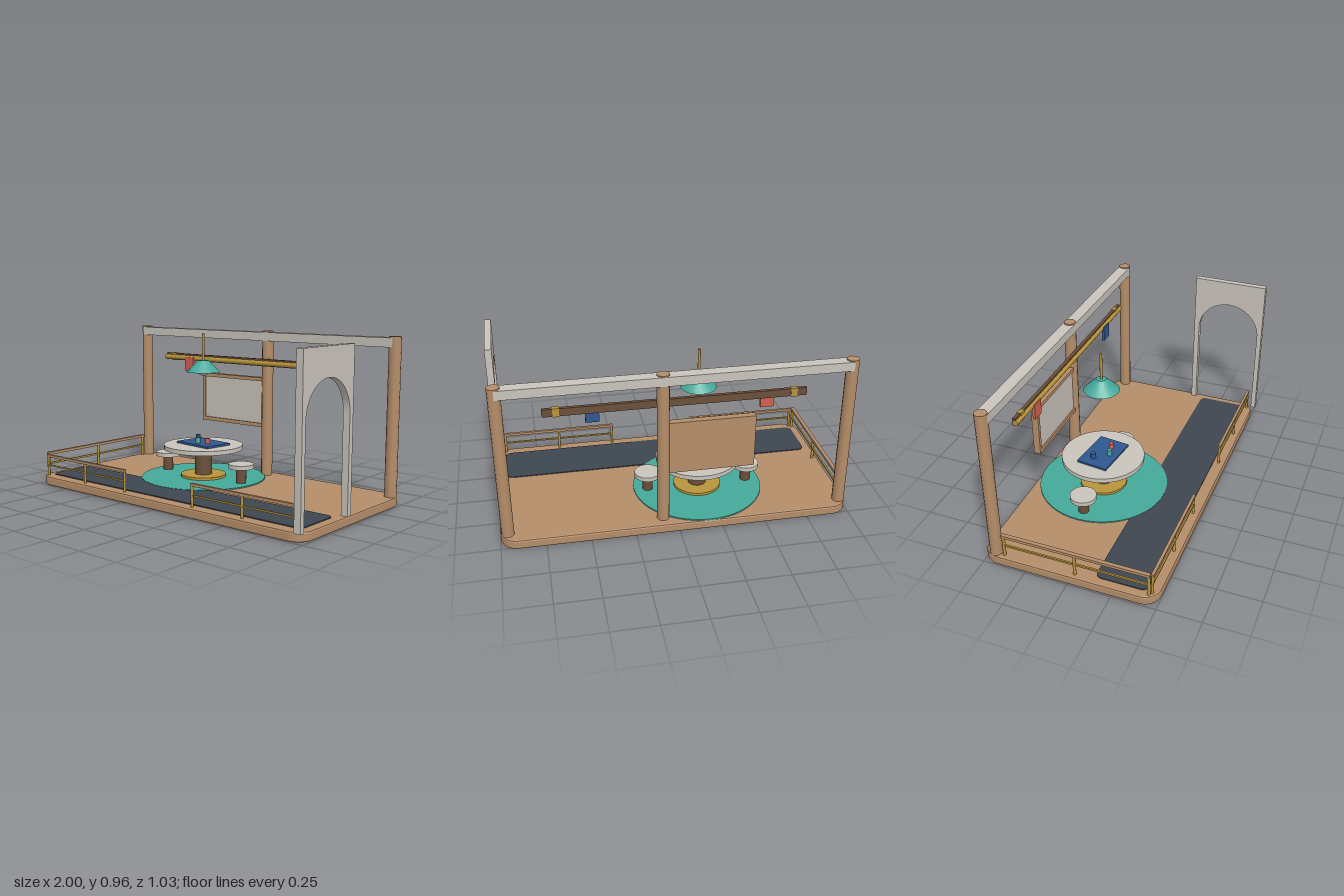
import * as THREE from 'three';

const material = (name, color) => {
  const m = new THREE.MeshStandardMaterial({ color });
  m.name = name;
  return m;
};

export function createModel() {
  const model = new THREE.Group();
  model.name = 'pavilion';

  const tan = material('tan wood', 0xb58d69);
  const stone = material('pale stone', 0xc9c4bb);
  const teal = material('teal', 0x45a99b);
  const slate = material('dark slate', 0x3e4651);
  const gold = material('brass', 0xb8943c);
  const brown = material('dark wood', 0x6b4f3a);
  const red = material('coral red', 0xd0604f);
  const blue = material('blue', 0x2f5791);

  const add = (name, geo, mat, x = 0, y = 0, z = 0, parent = model) => {
    const m = new THREE.Mesh(geo, mat);
    m.name = name;
    m.position.set(x, y, z);
    parent.add(m);
    return m;
  };
  // Box given by its lower and upper limits on each axis
  const box = (name, mat, x0, x1, y0, y1, z0, z1, parent) =>
    add(name, new THREE.BoxGeometry(x1 - x0, y1 - y0, z1 - z0), mat,
      (x0 + x1) / 2, (y0 + y1) / 2, (z0 + z1) / 2, parent);
  // Upright cylinder or frustum from y0 to y1
  const post = (name, mat, x, z, y0, y1, r, sides = 24, rTop = r, parent = model) =>
    add(name, new THREE.CylinderGeometry(rTop, r, y1 - y0, sides), mat, x, (y0 + y1) / 2, z, parent);
  // Flat rounded slab lying on y0
  const slab = (name, mat, w, d, r, y0, y1, z, bevel) => {
    const a = w / 2 - bevel, b = d / 2 - bevel;
    const s = new THREE.Shape();
    s.moveTo(-a + r, -b);
    s.lineTo(a - r, -b);
    s.absarc(a - r, -b + r, r, -Math.PI / 2, 0);
    s.lineTo(a, b - r);
    s.absarc(a - r, b - r, r, 0, Math.PI / 2);
    s.lineTo(-a + r, b);
    s.absarc(-a + r, b - r, r, Math.PI / 2, Math.PI);
    s.lineTo(-a, -b + r);
    s.absarc(-a + r, -b + r, r, Math.PI, Math.PI * 1.5);
    const geo = new THREE.ExtrudeGeometry(s, {
      depth: y1 - y0 - 2 * bevel, curveSegments: 6,
      bevelEnabled: bevel > 0, bevelSize: bevel, bevelThickness: bevel, bevelSegments: 2,
    });
    geo.rotateX(-Math.PI / 2);
    return add(name, geo, mat, 0, y0 + bevel, z);
  };

  // Floor and its coverings
  slab('floor', tan, 1.994, 1.015, 0.085, 0, 0.055, -0.0075, 0.01);
  slab('runner', slate, 1.894, 0.292, 0.035, 0.054, 0.0605, 0.286, 0);
  const cx = -0.177, cz = -0.132;
  post('rug', teal, cx, cz, 0.054, 0.062, 0.383, 48);

  // Back posts and top beam
  for (const x of [-0.957, 0.085, 0.957]) post('backPost', tan, x, -0.439, 0.05, 0.958, 0.035, 12);
  box('topBeam', stone, -0.957, 0.957, 0.898, 0.951, -0.474, -0.404);

  // Arch at the left side
  const arch = new THREE.Shape();
  arch.moveTo(0.06, 0.055);
  arch.lineTo(0.092, 0.055);
  arch.lineTo(0.092, 0.596);
  arch.absarc(0.29, 0.596, 0.198, Math.PI, 0, true);
  arch.lineTo(0.488, 0.055);
  arch.lineTo(0.517, 0.055);
  arch.lineTo(0.517, 0.948);
  arch.lineTo(0.06, 0.948);
  const archGeo = new THREE.ExtrudeGeometry(arch, { depth: 0.04, bevelEnabled: false, curveSegments: 14 });
  archGeo.rotateY(-Math.PI / 2);
  add('archway', archGeo, stone, 1, 0, 0);

  // Framed board beside the middle post
  const board = new THREE.Group();
  board.name = 'board';
  model.add(board);
  const [bx0, bx1, by0, by1] = [-0.428, 0.058, 0.357, 0.668];
  box('boardBack', tan, bx0, bx1, by0, by1, -0.455, -0.43, board);
  box('boardPanel', stone, bx0 + 0.022, bx1 - 0.006, by0 + 0.024, by1 - 0.022, -0.432, -0.424, board);
  box('boardFrameTop', tan, bx0, bx1, by1 - 0.022, by1, -0.43, -0.415, board);
  box('boardFrameBottom', tan, bx0, bx1, by0, by0 + 0.024, -0.43, -0.415, board);
  box('boardFrameSide', tan, bx0, bx0 + 0.022, by0 + 0.024, by1 - 0.022, -0.43, -0.415, board);

  // Hanging rail with clips and tags
  box('railBeam', brown, -0.722, 0.722, 0.744, 0.788, -0.405, -0.385);
  const rod = add('railRod', new THREE.CylinderGeometry(0.016, 0.016, 1.448, 10), gold, 0, 0.762, -0.386);
  rod.rotation.z = Math.PI / 2;
  for (const x of [-0.65, 0.65]) box('railClip', gold, x - 0.018, x + 0.018, 0.741, 0.791, -0.408, -0.38);
  box('redTag', red, -0.543, -0.468, 0.678, 0.768, -0.382, -0.366);
  box('blueTag', blue, 0.42, 0.495, 0.678, 0.768, -0.382, -0.366);

  // Round table
  post('tableFoot', gold, cx, cz, 0.06, 0.077, 0.14, 32);
  post('tableStem', brown, cx, cz, 0.075, 0.236, 0.053, 20);
  post('tableTop', stone, cx, cz, 0.235, 0.262, 0.245, 40);

  // Mat and cups on the table
  const mat = box('tableMat', blue, cx - 0.14, cx + 0.14, 0.262, 0.274, cz - 0.095, cz + 0.095);
  mat.rotation.y = -0.12;
  for (const [name, m, x, z] of [['blueCup', blue, -0.248, -0.165],
    ['tealCup', teal, -0.184, -0.088], ['redCup', red, -0.118, -0.104]])
    post(name, m, x, z, 0.272, 0.309, 0.015, 14);

  // Stools
  for (const side of [-1, 1]) {
    const x = cx + side * 0.3;
    post('stoolLeg', brown, x, cz, 0.055, 0.155, 0.031, 16);
    post('stoolSeat', stone, x, cz, 0.152, 0.178, 0.077, 24);
  }

  // Pendant lamp
  post('lampRod', gold, cx, cz, 0.775, 0.944, 0.008, 10);
  post('lampShade', teal, cx, cz, 0.712, 0.783, 0.104, 20, 0.03);
  add('lampBulb', new THREE.SphereGeometry(0.034, 18, 12), stone, cx, 0.722, cz);

  // Front railings, either side of the entrance
  for (const [x0, x1] of [[-0.953, -0.257], [0.253, 0.95]]) {
    box('frontHandrail', tan, x0, x1, 0.171, 0.187, 0.455, 0.472);
    box('frontMidRail', gold, x0, x1, 0.115, 0.124, 0.459, 0.468);
    for (const x of [x0 + 0.006, (x0 + x1) / 2, x1 - 0.006])
      post('frontRailPost', gold, x, 0.463, 0.05, 0.174, 0.008, 10);
  }

  // Railing along the right side
  box('sideHandrail', tan, -0.976, -0.954, 0.18, 0.197, -0.394, 0.455);
  box('sideMidRail', gold, -0.97, -0.96, 0.119, 0.13, -0.39, 0.45);
  for (const z of [-0.384, 0.032, 0.448]) post('sideRailPost', gold, -0.965, z, 0.05, 0.184, 0.009, 10);

  return model;
}
